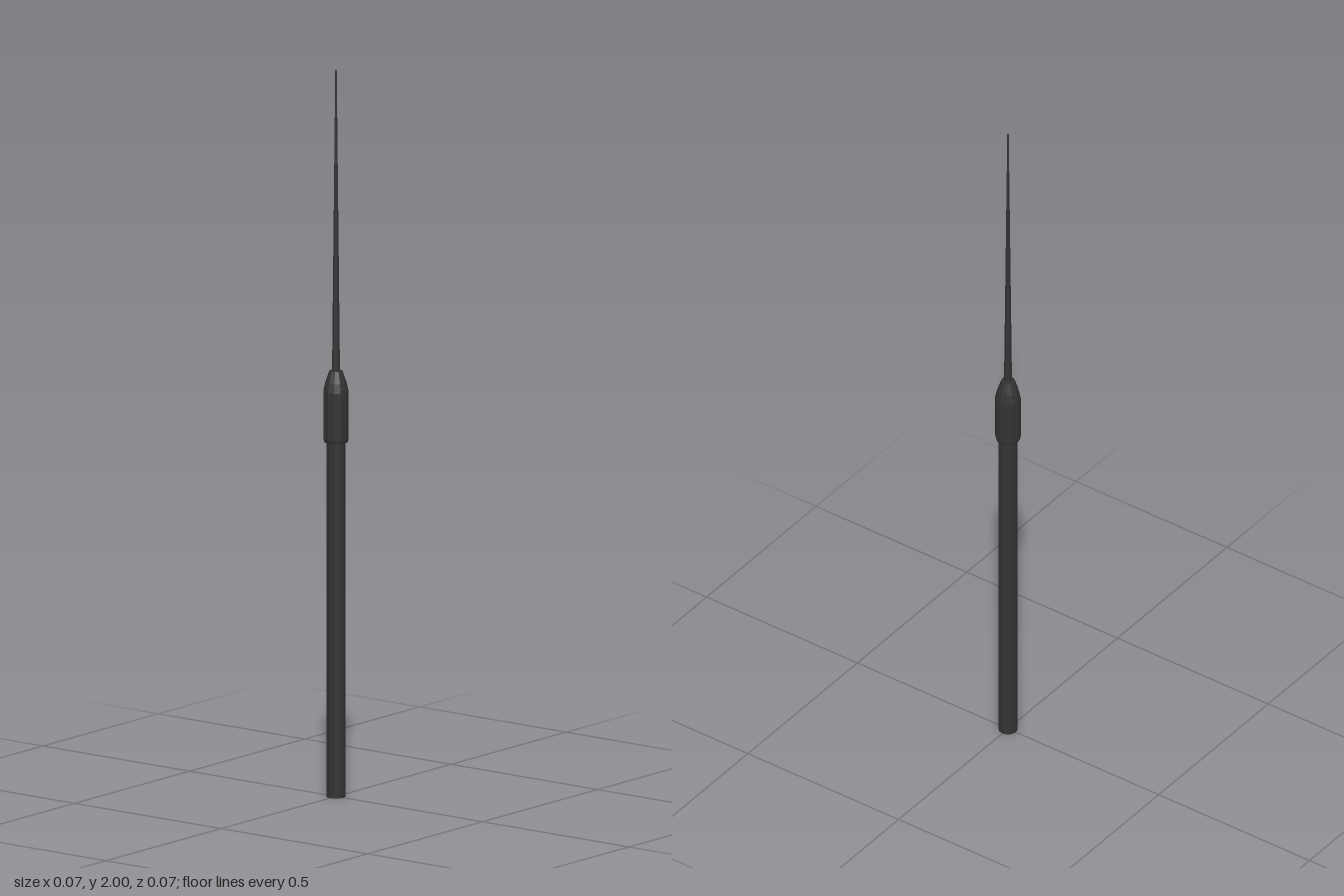
import * as THREE from 'three';

export function createModel() {
  const model = new THREE.Group();
  const material = new THREE.MeshStandardMaterial({ color: 0x333333, flatShading: true });

  // Closed, faceted round section running from y0 to y1
  function section(name, y0, y1, r0, r1, sides) {
    const mesh = new THREE.Mesh(new THREE.CylinderGeometry(r1, r0, y1 - y0, sides), material);
    mesh.position.y = (y0 + y1) / 2;
    mesh.name = name;
    model.add(mesh);
  }

  // Straight lower pole
  section('pole', 0, 0.98, 0.026, 0.026, 12);

  // Collar with a tapered shoulder
  const profile = [[0, 0.976], [0.032, 0.976], [0.0345, 0.985], [0.0345, 1.115], [0.029, 1.14], [0.018, 1.172], [0, 1.172]];
  const collar = new THREE.Mesh(
    new THREE.LatheGeometry(profile.map(([r, y]) => new THREE.Vector2(r, y)), 12),
    material
  );
  collar.name = 'collar';
  model.add(collar);

  // Slender whip tapering to the tip
  section('whip', 1.17, 2, 0.0108, 0.002, 6);

  return model;
}
